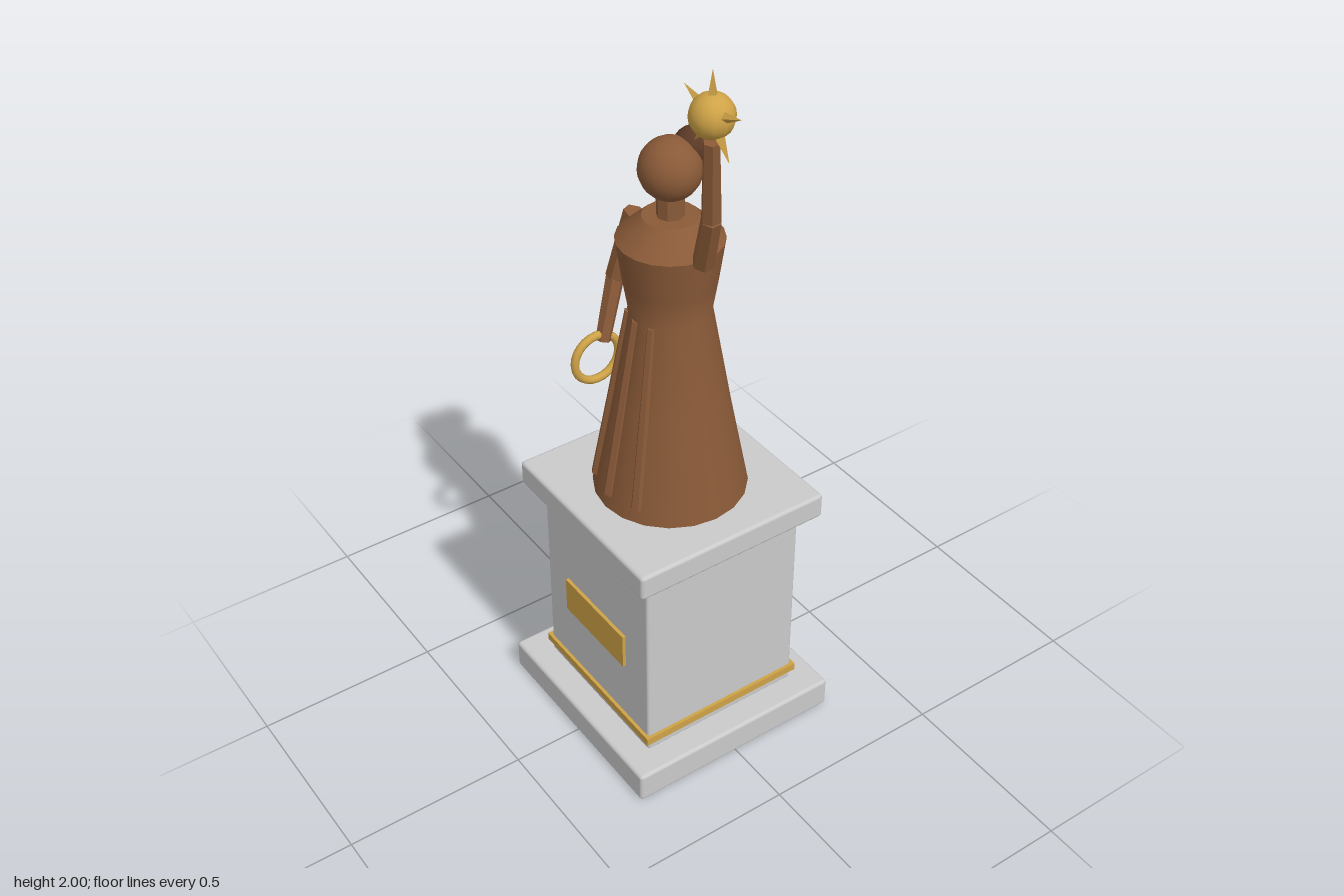
import * as THREE from 'three';
import { RoundedBoxGeometry } from 'three/addons/geometries/RoundedBoxGeometry.js';

const V = (x, y, z) => new THREE.Vector3(x, y, z);

function material(name, color) {
  const m = new THREE.MeshStandardMaterial({ color });
  m.name = name;
  return m;
}

export function createModel() {
  const stone = material('stone', 0xcacaca);
  const gold = material('gold', 0xcfa347);
  const bronze = material('bronze', 0x8a5a38);
  const darkBronze = material('dark bronze', 0x5c3a26);
  const model = new THREE.Group();
  model.name = 'statue';

  function add(name, geometry, mat, x = 0, y = 0, z = 0, parent = model) {
    const mesh = new THREE.Mesh(geometry, mat);
    mesh.name = name;
    mesh.position.set(x, y, z);
    parent.add(mesh);
    return mesh;
  }

  // Square slab centred on the axis, between two heights
  function slab(name, half, y0, y1, mat, radius) {
    const g = radius
      ? new RoundedBoxGeometry(half * 2, y1 - y0, half * 2, 2, radius)
      : new THREE.BoxGeometry(half * 2, y1 - y0, half * 2);
    add(name, g, mat, 0, (y0 + y1) / 2, 0);
  }

  // Tapered, faceted rod from a to b
  function rod(name, a, b, ra, rb, mat, sides = 6, parent = model) {
    const dir = b.clone().sub(a);
    let g = new THREE.CylinderGeometry(rb, ra, dir.length(), sides).toNonIndexed();
    g.computeVertexNormals();
    const mid = a.clone().add(b).multiplyScalar(0.5);
    const mesh = add(name, g, mat, mid.x, mid.y, mid.z, parent);
    mesh.quaternion.setFromUnitVectors(V(0, 1, 0), dir.normalize());
  }

  // Pedestal
  slab('pedestalBase', 0.31, 0.003, 0.09, stone, 0.01);
  slab('pedestalBlock', 0.236, 0.085, 0.68, stone, 0.008);
  slab('lowerBand', 0.245, 0.116, 0.138, gold);
  slab('upperBand', 0.245, 0.648, 0.666, gold);
  slab('pedestalCap', 0.28, 0.676, 0.748, stone, 0.01);
  add('plaque', new THREE.BoxGeometry(0.27, 0.104, 0.0095), gold, 0, 0.37, 0.2405);

  // Gown with a flared skirt, and a separate sloping shoulder yoke
  const profile = [[0.2, 0.746], [0.15, 1.01], [0.103, 1.28], [0.116, 1.36], [0.132, 1.475]];
  add('gown', new THREE.LatheGeometry(profile.map(p => new THREE.Vector2(...p)), 20), bronze);
  add('shoulders', new THREE.CylinderGeometry(0.068, 0.132, 0.06, 20), bronze, 0, 1.505, 0);

  // Skirt folds down the front
  for (const a of [-0.5, 0, 0.5]) {
    const s = Math.sin(a), c = Math.cos(a);
    rod('skirtFold', V(0.186 * s, 0.785, 0.186 * c), V(0.099 * s, 1.275, 0.099 * c),
      0.017, 0.012, bronze);
  }

  // Neck, head and bun
  rod('neck', V(0, 1.52, 0), V(0, 1.6, 0), 0.034, 0.034, bronze, 8);
  add('head', new THREE.SphereGeometry(0.077, 18, 14), bronze, 0, 1.657, 0);
  add('hairBun', new THREE.SphereGeometry(0.049, 10, 8), darkBronze, 0, 1.695, -0.065);

  // Raised left arm
  const leftArm = new THREE.Group();
  leftArm.name = 'leftArm';
  model.add(leftArm);
  const leftElbow = V(0.187, 1.62, 0.02);
  rod('upperArm', V(0.138, 1.474, 0.004), leftElbow, 0.028, 0.025, bronze, 6, leftArm);
  rod('forearm', leftElbow, V(0.207, 1.83, 0.037), 0.025, 0.02, bronze, 6, leftArm);

  // Lowered right arm
  const rightArm = new THREE.Group();
  rightArm.name = 'rightArm';
  model.add(rightArm);
  const rightElbow = V(-0.185, 1.28, 0.035);
  rod('upperArm', V(-0.148, 1.47, 0), rightElbow, 0.028, 0.025, bronze, 6, rightArm);
  rod('forearm', rightElbow, V(-0.166, 1.12, 0.088), 0.024, 0.02, bronze, 6, rightArm);

  // Ring hanging from the right hand
  const ring = add('ring', new THREE.TorusGeometry(0.065, 0.011, 8, 24), gold, -0.167, 1.075, 0.107);
  ring.rotation.y = Math.PI / 2;

  // Star orb above the left hand: a ball with five points
  const star = new THREE.Group();
  star.name = 'star';
  star.position.set(0.207, 1.893, 0.037);
  model.add(star);
  add('starBall', new THREE.SphereGeometry(0.053, 12, 10), gold, 0, 0, 0, star);
  for (let i = 0; i < 5; i++) {
    const a = Math.PI / 2 + (i * Math.PI * 2) / 5;
    const d = V(Math.cos(a), Math.sin(a), 0);
    rod('starPoint', d.clone().multiplyScalar(0.042), d.clone().multiplyScalar(0.107),
      0.014, 0.0005, gold, 4, star);
  }

  return model;
}
